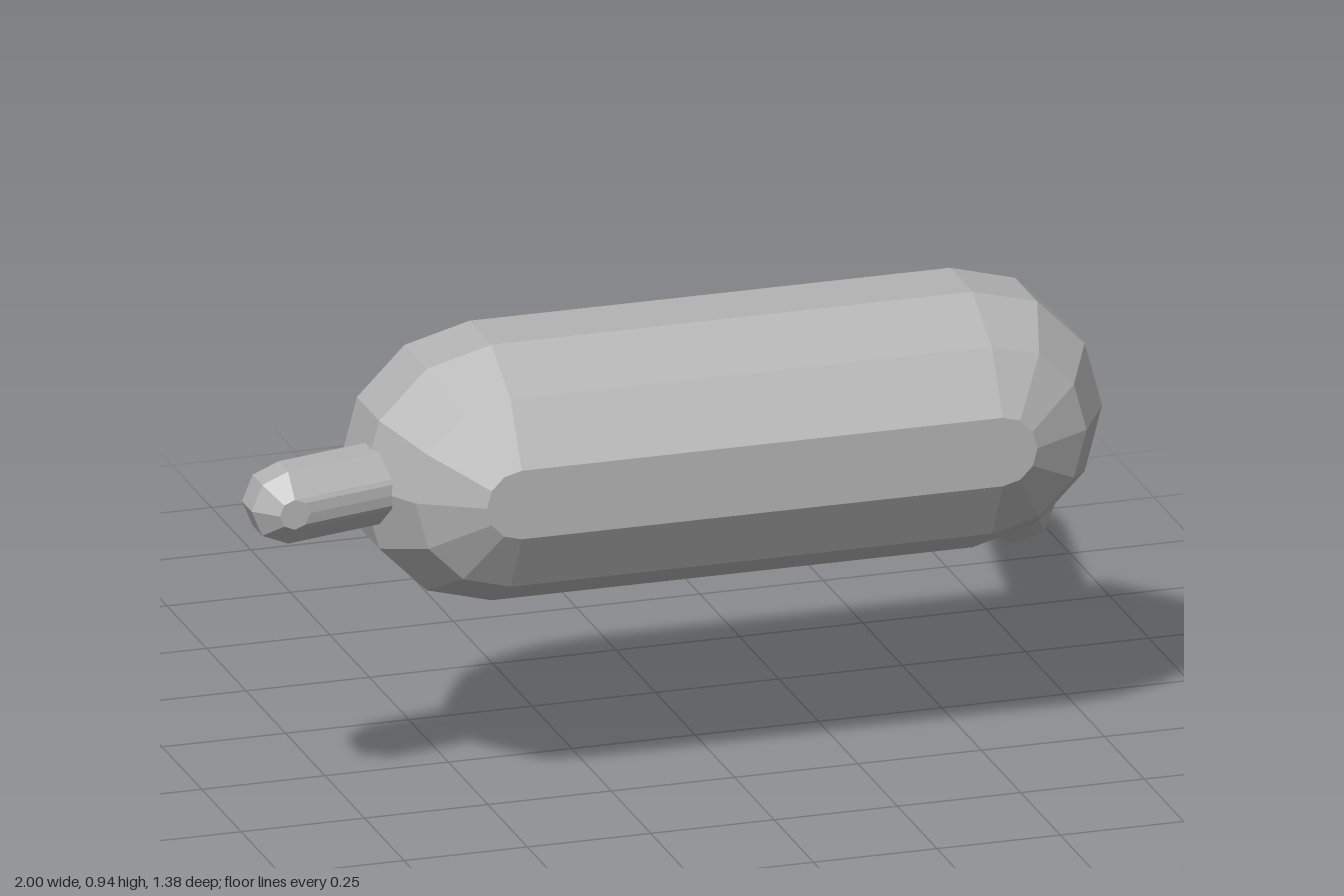
import * as THREE from 'three';
import { ConvexGeometry } from 'three/addons/geometries/ConvexGeometry.js';

// Corners of a low-poly ball with its axis along z and flat ends instead of poles
function ballPoints([cx, cy, cz], radius, sides) {
  const points = [];
  const step = (2 * Math.PI) / sides;
  for (let ring = 0; ring < sides / 2; ring++) {
    const latitude = -Math.PI / 2 + (ring + 0.5) * step;
    const r = radius * Math.cos(latitude);
    const z = cz + radius * Math.sin(latitude);
    for (let i = 0; i < sides; i++) {
      points.push(new THREE.Vector3(cx + r * Math.cos(i * step), cy + r * Math.sin(i * step), z));
    }
  }
  return points;
}

// Faceted capsule: the hull around a ball at each end
function capsule(name, start, end, radius, sides, material) {
  const points = [...ballPoints(start, radius, sides), ...ballPoints(end, radius, sides)];
  const mesh = new THREE.Mesh(new ConvexGeometry(points), material);
  mesh.name = name;
  return mesh;
}

export function createModel() {
  const model = new THREE.Group();
  model.name = 'capsuleBody';
  const grey = new THREE.MeshStandardMaterial({ color: 0xb3b3b3 });
  grey.name = 'plain grey';

  // Both limbs grow out of the centres of the body's rounded ends
  const rightEnd = [-0.492, 0.682, 0.427];
  const leftEnd = [0.483, 0.682, 0.427];
  model.add(
    capsule('body', rightEnd, leftEnd, 0.272, 12, grey),
    capsule('shortArm', rightEnd, [-0.926, 0.682, 0.535], 0.08, 8, grey),
    capsule('longLeg', leftEnd, [0.922, 0.075, -0.612], 0.08, 8, grey),
  );
  return model;
}
